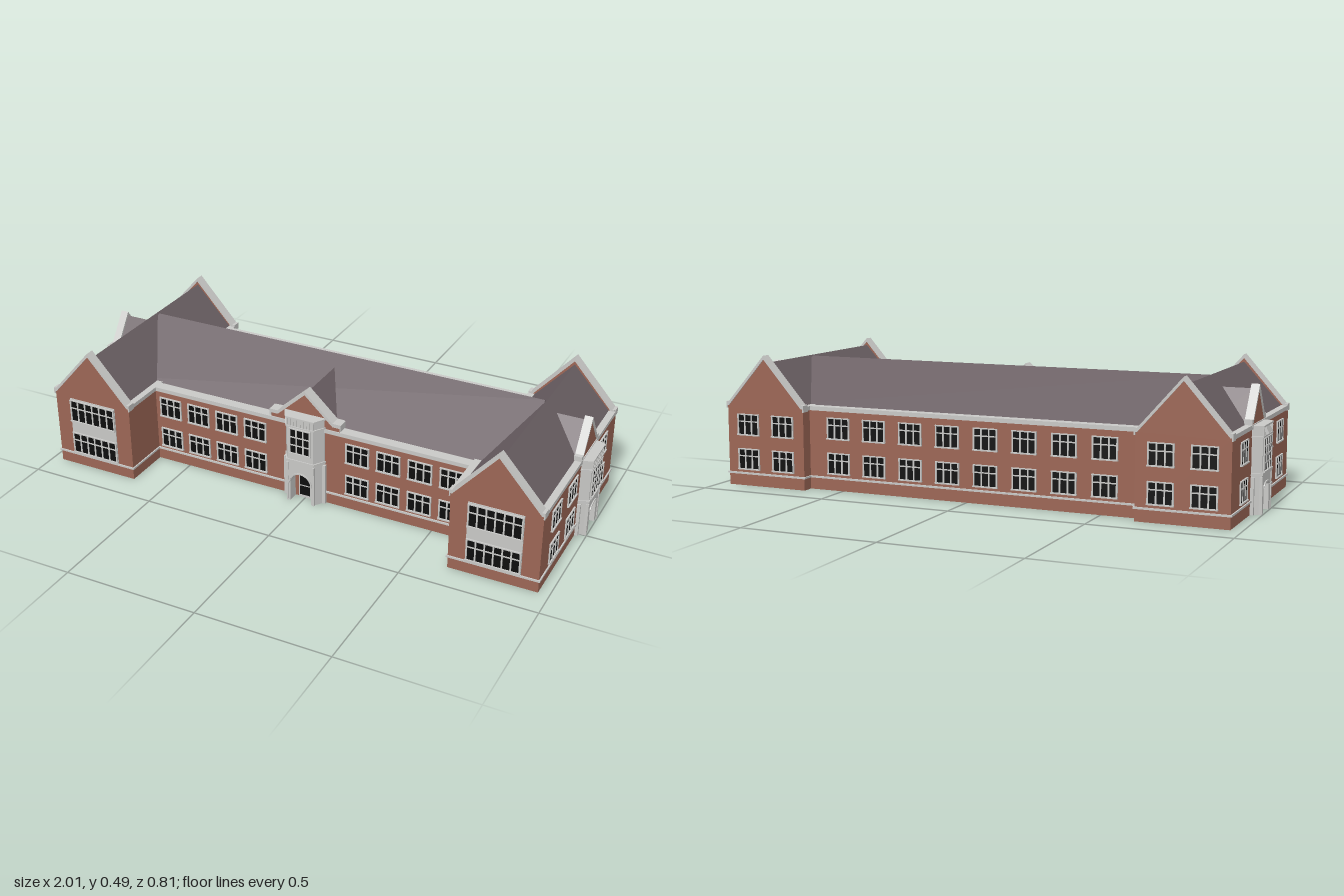
import * as THREE from 'three';

const mat = (name, color) => {
  const m = new THREE.MeshStandardMaterial({ color });
  m.name = name;
  return m;
};

export function createModel() {
  const brick = mat('brick red', 0x9c6655);
  const stone = mat('pale stone', 0xc8c8c6);
  const slate = mat('roof slate', 0x6a5f63);
  const glass = mat('dark glass', 0x0e0e0e);
  const model = new THREE.Group();
  model.name = 'building';

  const add = (parent, name, geo, material) => {
    const m = new THREE.Mesh(geo, material);
    m.name = name;
    parent.add(m);
    return m;
  };
  // Box given by its limits
  const box = (parent, name, material, x0, x1, y0, y1, z0, z1) => {
    const g = new THREE.BoxGeometry(x1 - x0, y1 - y0, z1 - z0);
    g.translate((x0 + x1) / 2, (y0 + y1) / 2, (z0 + z1) / 2);
    return add(parent, name, g, material);
  };
  const shapeOf = (pts) => new THREE.Shape(pts.map(([x, y]) => new THREE.Vector2(x, y)));
  // Upright outline (x, y) running from z0 to z1
  const slab = (pts, z0, z1) => {
    const g = new THREE.ExtrudeGeometry(shapeOf(pts), { depth: z1 - z0, bevelEnabled: false });
    return g.translate(0, 0, z0);
  };
  // Floor plan (x, z) raised from y0 to y1
  const plan = (pts, y0, y1) => {
    const g = new THREE.ExtrudeGeometry(shapeOf(pts.map(([x, z]) => [x, -z])), { depth: y1 - y0, bevelEnabled: false });
    return g.rotateX(-Math.PI / 2).translate(0, y0, 0);
  };
  // Group whose local +z points away from a wall
  const mount = (name, x, z, turn = 0) => {
    const g = new THREE.Group();
    g.name = name;
    g.position.set(x, 0, z);
    g.rotation.y = turn;
    model.add(g);
    return g;
  };

  // Mullioned window on a wall at local z
  const windowUnit = (parent, cx, y0, y1, w, cols, rows, z = 0) => {
    const x0 = cx - w / 2, x1 = cx + w / 2, b = 0.0028;
    box(parent, 'windowGlass', glass, x0, x1, y0, y1, z - 0.002, z + 0.002);
    for (let i = 0; i <= cols; i++) {
      const x = x0 + (w * i) / cols;
      box(parent, 'mullion', stone, x - b, x + b, y0, y1, z, z + 0.005);
    }
    rows.forEach((r) => {
      const y = y0 + (y1 - y0) * r;
      box(parent, 'transom', stone, x0, x1, y - b * 0.8, y + b * 0.8, z, z + 0.0045);
    });
    box(parent, 'sill', stone, x0 - 0.004, x1 + 0.004, y0 - 0.004, y0 + 0.001, z, z + 0.008);
    box(parent, 'lintel', stone, x0 - 0.003, x1 + 0.003, y1 - 0.001, y1 + 0.003, z, z + 0.006);
  };
  const windowPair = (parent, cx, w = 0.087) => {
    windowUnit(parent, cx, 0.064, 0.137, w, 3, [0.66]);
    windowUnit(parent, cx, 0.193, 0.267, w, 3, [0.66]);
  };

  // Gable parapet with shoulders and a stone coping
  const gable = (parent, hw, sw, sy, peak, t) => {
    const c = 0.014;
    const top = [[-hw, sy], [-sw, sy], [0, peak], [sw, sy], [hw, sy]];
    const low = top.map(([x, y]) => [x, y - c]);
    add(parent, 'gableWall', slab([[-hw, 0.29], ...low, [hw, 0.29]], -t, 0.001), brick);
    add(parent, 'gableCoping', slab([...top, ...low.reverse()], -t - 0.003, 0.005), stone);
    for (const s of [-1, 1]) {
      const a = s * hw, b = s * (hw + 0.005);
      box(parent, 'kneeler', stone, Math.min(a, b), Math.max(a, b), sy - 0.025, sy, -t, 0.005);
    }
  };
  const roofPrism = (parent, name, half, y0, ridge, z0, z1) =>
    add(parent, name, slab([[-half, y0], [half, y0], [0, ridge]], z0, z1), slate);

  // Canted entrance bay: piers, arch, recessed door and oriel above
  const portal = (parent, o) => {
    const { hw, fw, d, notch, spring, rise, mid, top } = o;
    const outline = (e) => [[-hw - e, -0.01], [-hw - e, 0.003], [-fw - e, d + e], [fw + e, d + e], [hw + e, 0.003], [hw + e, -0.01]];
    for (const s of [-1, 1]) {
      add(parent, 'pier', plan([[s * hw, -0.01], [s * hw, 0.003], [s * fw, d], [s * notch, d], [s * notch, -0.01]], 0, mid), stone);
      // corner shafts beside the bay
      box(parent, 'cornerShaft', stone, s * hw - 0.006, s * hw + 0.006, 0, mid - 0.01, 0, 0.012);
      box(parent, 'frontShaft', stone, s * fw - 0.004, s * fw + 0.004, 0, mid - 0.01, d - 0.008, d + 0.003);
    }
    const arc = [], hood = [], hoodTop = [];
    for (let i = 0; i <= 12; i++) {
      const u = Math.cos((Math.PI * i) / 12), v = Math.sin((Math.PI * i) / 12);
      arc.push([u * notch, spring + v * rise]);
      hood.push([u * (notch + 0.001), spring + v * (rise + 0.001)]);
      hoodTop.push([u * (notch + 0.006), spring + v * (rise + 0.006)]);
    }
    add(parent, 'archSpandrel', slab([...arc, [-notch, mid], [notch, mid]], 0, d), stone);
    add(parent, 'archHood', slab([...hoodTop, ...hood.reverse()], d, d + 0.004), stone);
    // door
    const dw = o.door, dh = o.doorTop;
    box(parent, 'recessBack', o.back, -notch, notch, 0, spring + rise, 0, 0.002);
    box(parent, 'door', stone, -dw, dw, 0, dh, 0, 0.007);
    box(parent, 'doorGlass', glass, -dw + 0.006, dw - 0.006, 0.012, dh * 0.48, 0.006, 0.009);
    box(parent, 'doorGlass', glass, -dw + 0.006, dw - 0.006, dh * 0.54, dh - 0.006, 0.006, 0.009);
    // oriel
    add(parent, 'oriel', plan(outline(0), mid, top), stone);
    add(parent, 'middleCornice', plan(outline(0.004), mid - 0.004, mid + 0.005), stone);
    add(parent, 'upperCornice', plan(outline(0.004), top - 0.042, top - 0.036), stone);
    add(parent, 'topCornice', plan(outline(0.005), top - 0.006, top), stone);
    for (let i = 0; i <= 8; i++) {
      const x = -fw + (2 * fw * i) / 8;
      box(parent, 'parapetRib', stone, x - 0.002, x + 0.002, top - 0.036, top - 0.006, d, d + 0.003);
    }
    windowUnit(parent, 0, o.win[0], o.win[1], o.winW, o.cols, o.rows, d);
  };

  // Central range
  box(model, 'mainWalls', brick, -0.64, 0.64, 0, 0.296, -0.35, 0.215);
  for (const [z0, z1] of [[0.18, 0.22], [-0.355, -0.315]])
    box(model, 'mainEavesParapet', stone, -0.64, 0.64, 0.293, 0.308, z0, z1);
  const mainRoof = mount('mainRoof', 0, -0.0675, Math.PI / 2);
  roofPrism(mainRoof, 'mainRoofSlopes', 0.25, 0.3, 0.46, -0.79, 0.79);

  // Windows of the central range
  const front = mount('frontWindows', 0, 0.215);
  const back = mount('backWindows', 0, -0.35, Math.PI);
  for (const s of [-1, 1])
    for (let i = 0; i < 4; i++) {
      windowPair(front, s * (0.207 + i * 0.121));
      windowPair(back, s * (0.0735 + i * 0.147));
    }

  // Central entrance with its gable and dormer roof
  const entrance = mount('mainEntrance', 0, 0.215);
  portal(entrance, { hw: 0.078, fw: 0.052, d: 0.043, notch: 0.042, spring: 0.075, rise: 0.042, mid: 0.17, top: 0.35,
    door: 0.026, doorTop: 0.1, back: brick, win: [0.205, 0.303], winW: 0.08, cols: 3, rows: [0.33, 0.66] });
  gable(entrance, 0.138, 0.11, 0.338, 0.44, 0.035);
  roofPrism(entrance, 'entranceRoof', 0.11, 0.302, 0.428, -0.28, -0.03);

  // String course of the central range, broken by the entrance
  for (const s of [-1, 1]) {
    const [a, b] = s > 0 ? [0.078, 0.64] : [-0.64, -0.078];
    box(model, 'stringCourse', stone, a, b, 0.043, 0.05, 0.2, 0.22);
  }
  box(model, 'stringCourse', stone, -0.64, 0.64, 0.043, 0.05, -0.355, -0.34);

  // Cross wings
  for (const s of [-1, 1]) {
    const cx = s * 0.7975;
    const wing = mount(s > 0 ? 'leftWing' : 'rightWing', cx, 0);
    box(wing, 'wingWalls', brick, -0.1625, 0.1625, 0, 0.296, -0.395, 0.395);
    roofPrism(wing, 'wingRoof', 0.15, 0.298, 0.462, -0.375, 0.375);
    for (const [z0, z1] of [[0.011, 0.4], [-0.4, -0.143]])
      box(wing, 'stringCourse', stone, -0.1675, 0.1675, 0.043, 0.05, z0, z1);
    // eaves parapets: full length outside, short returns inside
    const strip = (edge, z0, z1) => {
      const a = edge * 0.142, b = edge * 0.167;
      box(wing, 'wingEavesParapet', stone, Math.min(a, b), Math.max(a, b), 0.293, 0.308, z0, z1);
    };
    strip(s, -0.395, 0.395);
    strip(-s, 0.155, 0.395);
    strip(-s, -0.395, -0.285);

    // front gable with tall stone window panel
    const wf = mount('wingFront', cx, 0.395);
    gable(wf, 0.162, 0.156, 0.314, 0.49, 0.026);
    box(wf, 'windowPanel', stone, -0.099, 0.099, 0.052, 0.283, 0, 0.003);
    windowUnit(wf, 0, 0.058, 0.138, 0.19, 6, [0.64], 0.003);
    windowUnit(wf, 0, 0.192, 0.276, 0.19, 6, [0.64], 0.003);

    // back gable
    const wb = mount('wingBack', cx, -0.395, Math.PI);
    gable(wb, 0.162, 0.156, 0.314, 0.49, 0.026);
    for (const x of [-0.074, 0.074]) windowPair(wb, x);

    // outer side with its own entrance; local x runs along the wall
    const side = mount('wingSide', s * 0.96, -0.066, (s * Math.PI) / 2);
    for (const z of [0.263, 0.096, -0.243]) windowPair(side, -s * (z + 0.066));
    portal(side, { hw: 0.075, fw: 0.062, d: 0.035, notch: 0.036, spring: 0.088, rise: 0.015, mid: 0.138, top: 0.305,
      door: 0.026, doorTop: 0.082, back: stone, win: [0.147, 0.259], winW: 0.104, cols: 4, rows: [0.25, 0.5, 0.75] });
    gable(side, 0.09, 0.078, 0.326, 0.437, 0.022);
    roofPrism(side, 'sideDormerRoof', 0.08, 0.302, 0.421, -0.16, -0.018);
  }
  return model;
}
